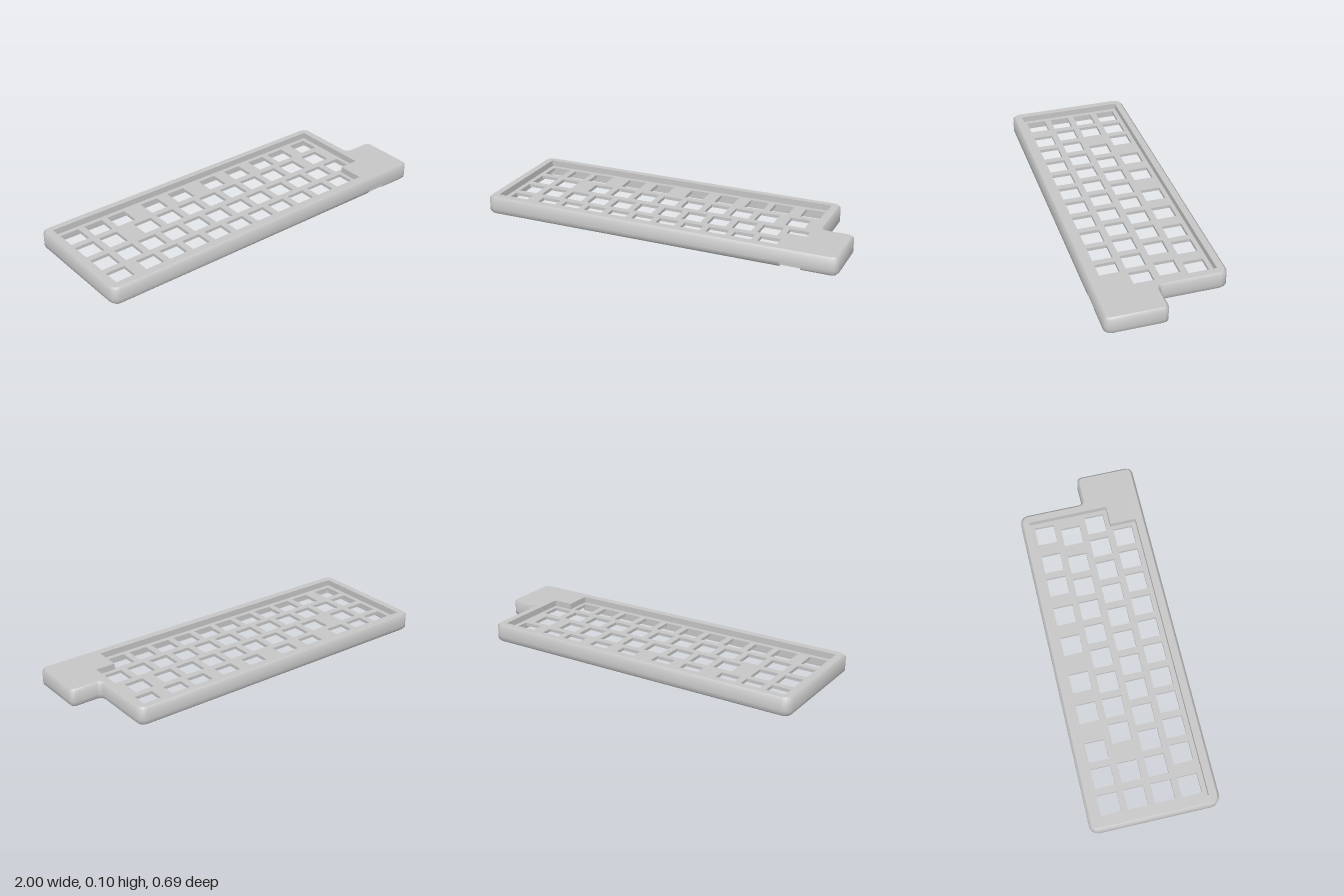
import * as THREE from 'three';
import { toCreasedNormals } from 'three/addons/utils/BufferGeometryUtils.js';

const grey = new THREE.MeshStandardMaterial({ color: 0xc6c6c6 });
grey.name = 'case grey';

// Plan corners as [x, -z, corner radius], counter-clockwise from above
const OUTLINE = [
  [-1, -0.343, 0.045], [1, -0.343, 0.035], [1, -0.02, 0.03],
  [0.83, -0.02, 0.02], [0.83, 0.345, 0.045], [-1, 0.345, 0.045],
];
const RECESS = [
  [-0.95, -0.29], [0.67, -0.29], [0.67, -0.145],
  [0.78, -0.145], [0.78, 0.298], [-0.95, 0.298],
];
// Heights, from the bottom up
const NOTCH = 0.0125, SKIRT = 0.03, UNDERSIDE = 0.046, DECK = 0.063, SHOULDER = 0.085, TOP = 0.097;
const CHAMFER = 0.012, WALL = 0.03, SKIN = 0.002;
const KEY = 0.107;

// Key openings: row z, then column centres
const PITCH = 0.143;
const run = (start, count) => Array.from({ length: count }, (_, i) => start + i * PITCH);
const ROWS = [
  [-0.22, [...run(-0.87, 3), -0.369, -0.193, 0.024, 0.203, 0.38, 0.524, 0.7]],
  [-0.077, [...run(-0.87, 2), ...run(-0.511, 8), 0.663]],
  [0.067, run(-0.87, 12)],
  [0.21, [-0.87, ...run(-0.692, 10)]],
];

// Rounded outline moved inward by an inset; starts with the front-left corner
function ring(inset) {
  const n = OUTLINE.length, pts = [];
  const at = (i) => new THREE.Vector2(...OUTLINE[(i + n) % n].slice(0, 2));
  for (let k = 1; k <= n; k++) {
    const p = at(k), r0 = OUTLINE[k % n][2];
    const d0 = p.clone().sub(at(k - 1)).normalize();
    const d1 = at(k + 1).sub(p).normalize();
    const concave = d0.cross(d1) < 0;
    const r = Math.max(concave ? r0 + inset : r0 - inset, 0.004);
    const qx = p.x - inset * (d0.y + d1.y), qy = p.y + inset * (d0.x + d1.x);
    for (let s = 0; s <= 3; s++) {
      const t = (s / 3) * Math.PI / 2, a = r * (1 - Math.cos(t)), b = r * (1 - Math.sin(t));
      pts.push(new THREE.Vector2(qx + d1.x * a - d0.x * b, qy + d1.y * a - d0.y * b));
    }
  }
  return pts;
}

// Skin a profile of [inset, height] around the outline, optionally leaving a gap in the front
function sweep(profile, gap) {
  const rings = profile.map(([inset, y]) => {
    const pts = ring(inset), front = OUTLINE[0][1] + inset;
    if (gap) {
      pts.unshift(new THREE.Vector2(gap[1], front));
      pts.push(new THREE.Vector2(gap[0], front));
    } else pts.push(pts[0]);
    return pts.map((p) => [p.x, y, -p.y]);
  });
  const pos = [], tri = (...v) => v.forEach((p) => pos.push(...p));
  const last = rings[0].length - 1;
  for (let j = 0; j < rings.length - 1; j++) {
    for (let k = 0; k < last; k++) {
      const a = rings[j][k], b = rings[j][k + 1], c = rings[j + 1][k + 1], d = rings[j + 1][k];
      tri(a, b, c);
      tri(a, c, d);
    }
  }
  if (gap) {
    for (let j = 1; j < rings.length - 1; j++) {
      tri(rings[0][0], rings[j][0], rings[j + 1][0]);
      tri(rings[0][last], rings[j + 1][last], rings[j][last]);
    }
  }
  const g = new THREE.BufferGeometry();
  g.setAttribute('position', new THREE.Float32BufferAttribute(pos, 3));
  return toCreasedNormals(g, 0.9);
}

// Flat slab between two heights
function slab(points, holes, y0, y1) {
  const shape = new THREE.Shape(points);
  shape.holes = holes.map((h) => new THREE.Path(h));
  return new THREE.ExtrudeGeometry(shape, { depth: y1 - y0, bevelEnabled: false })
    .rotateX(-Math.PI / 2).translate(0, y0, 0);
}

export function createModel() {
  const model = new THREE.Group();
  model.name = 'keyboardCase';
  const add = (name, geometry) => {
    const mesh = new THREE.Mesh(geometry, grey);
    mesh.name = name;
    model.add(mesh);
  };

  // Thin key deck with square openings
  const h = KEY / 2;
  const openings = ROWS.flatMap(([z, xs]) => xs.map((x) => [
    [x - h, -z - h], [x - h, -z + h], [x + h, -z + h], [x + h, -z - h],
  ].map((p) => new THREE.Vector2(...p))));
  add('keyDeck', slab(ring(SKIN), openings, UNDERSIDE, DECK));

  // Raised rim and side block around the stepped recess
  const recess = RECESS.map((p) => new THREE.Vector2(...p)).reverse();
  add('rim', slab(ring(CHAMFER), [recess], DECK, TOP));
  add('outerWall', sweep([[0, SKIRT], [0, SHOULDER], [CHAMFER, TOP]]));

  // Wall around the hollow underside, with a chamfered lip open at the cable notch
  add('innerWall', slab(ring(SKIN), [ring(WALL).reverse()], NOTCH, UNDERSIDE));
  add('bottomLip', sweep(
    [[WALL, NOTCH], [WALL, 0], [CHAMFER, 0], [0, NOTCH], [0, SKIRT]], [0.7, 0.81]));
  return model;
}
